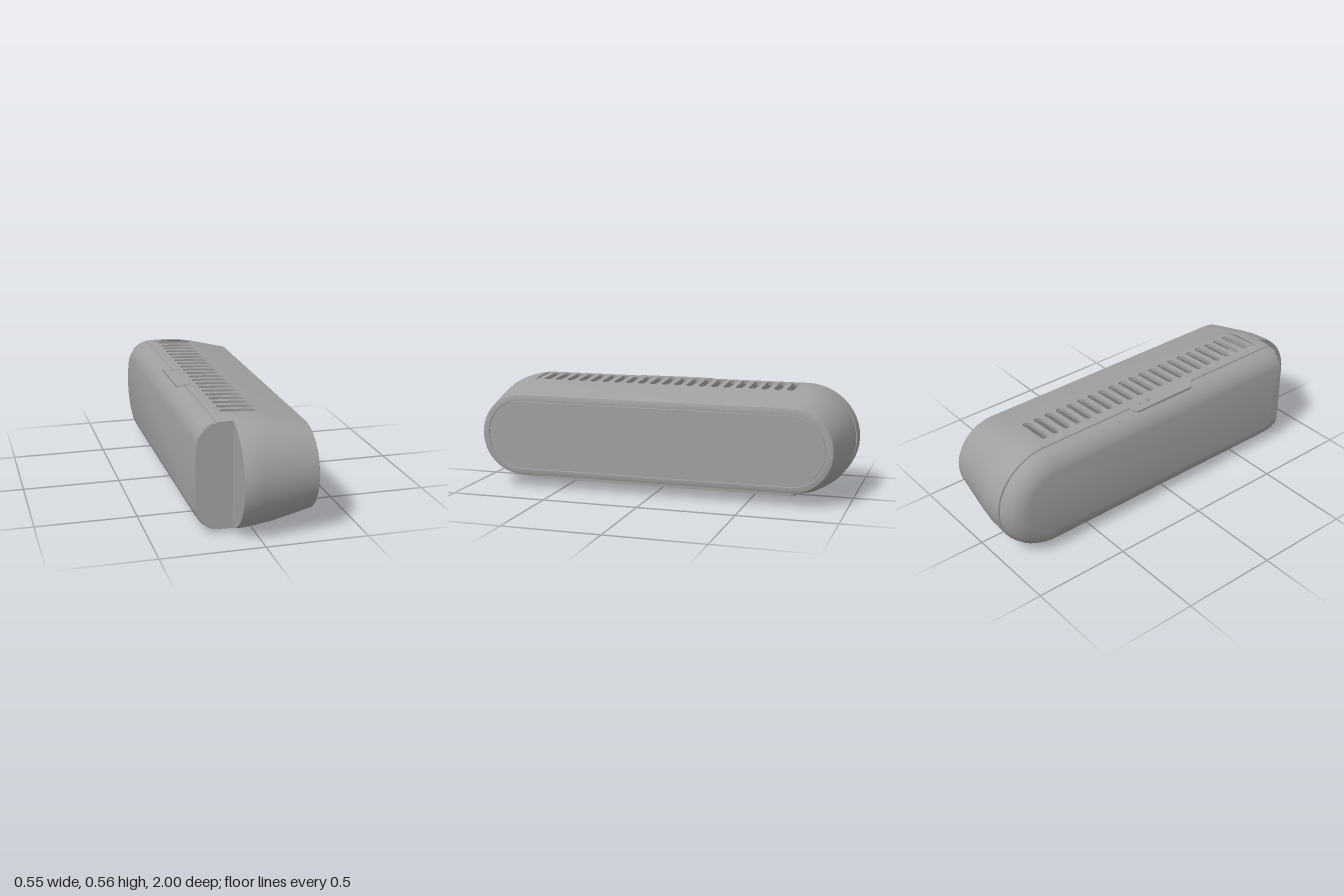
import * as THREE from 'three';
import { toCreasedNormals } from 'three/addons/utils/BufferGeometryUtils.js';

const grey = new THREE.MeshStandardMaterial({ color: 0xa0a0a0, side: THREE.DoubleSide });
grey.name = 'mid grey';

const STRAIGHT = 0.72; // half length of the straight top and bottom edges
const CUT = 0.79;      // where the rear cover stops at the +z end

// Stadium sections: x, bottom y, top y, half length, whether the +z end is cut
const SECTIONS = [
  [-0.277, 0.11, 0.455, 0.885, 1], [-0.268, 0.075, 0.49, 0.93, 1], [-0.245, 0.042, 0.525, 0.965, 1],
  [-0.215, 0.02, 0.546, 0.985, 1], [-0.19, 0.012, 0.555, 0.995, 1],
  [-0.188, 0.018, 0.549, 0.989, 1], [-0.183, 0.018, 0.549, 0.989, 1], [-0.181, 0.011, 0.556, 1, 1],
  [-0.16, 0.01, 0.558, 1, 1], [-0.1, 0.009, 0.56, 0.995, 1], [-0.1, 0.009, 0.56, 0.99, 0],
  [-0.065, 0.009, 0.56, 0.995, 0], [0, 0.014, 0.557, 0.985, 0], [0.08, 0.025, 0.543, 0.97, 0],
  [0.275, 0.07, 0.495, 0.932, 0],
  // rim and groove around the front panel
  [0.277, 0.074, 0.491, 0.928, 0], [0.277, 0.1, 0.465, 0.9, 0], [0.271, 0.101, 0.464, 0.899, 0],
  [0.271, 0.106, 0.459, 0.894, 0], [0.277, 0.107, 0.458, 0.893, 0],
];

// Height of the body surface at x (column 1 = bottom, 2 = top)
function heightAt(x, column) {
  const i = Math.max(1, SECTIONS.findIndex(s => s[0] >= x));
  const a = SECTIONS[i - 1], b = SECTIONS[i];
  return THREE.MathUtils.mapLinear(x, a[0], b[0], a[column], b[column]);
}

// Shell lofted through the sections, left open where the vent panels sit
function shellGeometry() {
  const n = 24, count = 2 * n + 2, pos = [], index = [];
  for (const [x, y0, y1, half, cut] of SECTIONS) {
    for (let i = 0; i < count; i++) {
      const side = i <= n ? 1 : -1;
      const angle = -Math.PI / 2 + (i - (side < 0 ? 1 : 0)) * Math.PI / n;
      let z = side * STRAIGHT + (half - STRAIGHT) * Math.cos(angle);
      if (cut) z = Math.min(z, CUT);
      pos.push(x, (y0 + y1) / 2 + (y1 - y0) / 2 * Math.sin(angle), z);
    }
  }
  for (let s = 0; s < SECTIONS.length - 1; s++) {
    const open = SECTIONS[s][0] >= -0.161 && SECTIONS[s + 1][0] <= 0.081;
    for (let i = 0; i < count; i++) {
      if (open && (i === n || i === count - 1)) continue;
      const j = (i + 1) % count, a = s * count, d = a + count;
      index.push(a + i, d + i, d + j, a + i, d + j, a + j);
    }
  }
  // flat back and front
  const last = (SECTIONS.length - 1) * count;
  for (let i = 1; i < count - 1; i++) {
    index.push(0, i, i + 1, last, last + i + 1, last + i);
  }
  const geo = new THREE.BufferGeometry();
  geo.setAttribute('position', new THREE.Float32BufferAttribute(pos, 3));
  geo.setIndex(index);
  return toCreasedNormals(geo, 0.6);
}

// Rounded rectangle in x and z
function roundedRect(x0, x1, z0, z1, r, target = new THREE.Shape()) {
  target.absarc(x1 - r, z1 - r, r, 0, Math.PI / 2);
  target.absarc(x0 + r, z1 - r, r, Math.PI / 2, Math.PI);
  target.absarc(x0 + r, z0 + r, r, Math.PI, Math.PI * 1.5);
  target.absarc(x1 - r, z0 + r, r, Math.PI * 1.5, Math.PI * 2);
  target.closePath();
  return target;
}

// Plate whose upper face follows the height rule
function plate(shape, thickness, height) {
  const geo = new THREE.ExtrudeGeometry(shape, { depth: thickness, bevelEnabled: false, curveSegments: 6 });
  geo.rotateX(Math.PI / 2);
  const p = geo.attributes.position;
  for (let i = 0; i < p.count; i++) p.setY(i, p.getY(i) + height(p.getX(i)));
  return toCreasedNormals(geo, 0.6);
}

// Vent panel with a row of 21 slots
function ventShape(x0, x1, skip) {
  const shape = new THREE.Shape([[-0.16, -STRAIGHT], [0.08, -STRAIGHT], [0.08, STRAIGHT], [-0.16, STRAIGHT]]
    .map(([x, z]) => new THREE.Vector2(x, z)));
  for (let i = 0; i < 21; i++) {
    const z = -0.67 + i * 0.0665;
    if (Math.abs(z) < skip) continue;
    shape.holes.push(roundedRect(x0, x1, z - 0.019, z + 0.019, 0.0185, new THREE.Path()));
  }
  return shape;
}

export function createModel() {
  const group = new THREE.Group();
  const add = (name, geometry, x = 0, y = 0, z = 0) => {
    const mesh = new THREE.Mesh(geometry, grey);
    mesh.name = name;
    mesh.position.set(x, y, z);
    group.add(mesh);
  };

  add('bodyShell', shellGeometry());
  add('topVent', plate(ventShape(-0.13, 0.05, 0), 0.018, x => heightAt(x, 2)));
  add('bottomVent', plate(ventShape(-0.14, -0.02, 0.1), 0.012, x => heightAt(x, 1) + 0.012));

  // raised lip around the bottom vent
  const lip = roundedRect(-0.178, 0.083, -0.71, 0.71, 0.03);
  lip.holes.push(roundedRect(-0.158, 0.066, -0.695, 0.695, 0.02, new THREE.Path()));
  add('bottomLip', plate(lip, 0.02, () => 0.026));

  // button strip on the top seam, with two pinholes
  const strip = roundedRect(-0.224, -0.146, -0.2, 0.2, 0.036);
  for (const [z, r] of [[-0.135, 0.006], [-0.08, 0.011]]) {
    strip.holes.push(new THREE.Path().absarc(-0.186, z, r, 0, Math.PI * 2));
  }
  add('buttonStrip', plate(strip, 0.015, x => 0.56 - 0.2 * Math.max(0, -0.185 - x)));

  // six-sided mounting socket under the body
  const socket = [[0, 0.03], [0.055, 0.03], [0.085, 0.004], [0.1, 0.004], [0.1, 0.03]]
    .map(([r, y]) => new THREE.Vector2(r, y));
  add('mountSocket', toCreasedNormals(new THREE.LatheGeometry(socket, 6), 0.3), -0.04, 0, 0);
  add('mountTab', new THREE.BoxGeometry(0.04, 0.016, 0.14), -0.135, 0.008, 0);

  return group;
}
